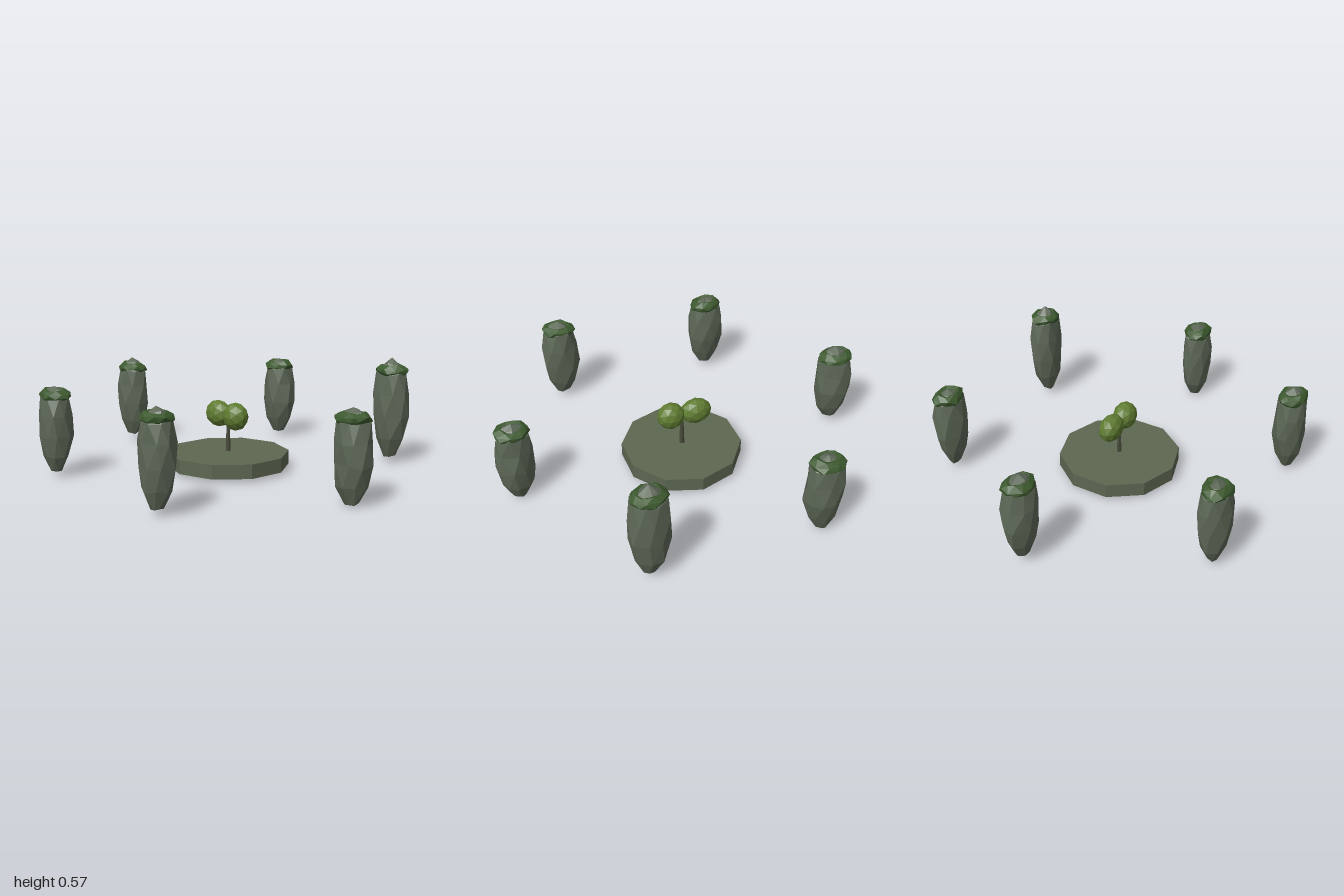
import * as THREE from 'three';

const material = (name, color) => {
  const m = new THREE.MeshStandardMaterial({ color });
  m.name = name;
  return m;
};

// Small repeatable noise in the range -1..1
function noise(a, b, c) {
  const s = Math.sin(a * 12.99 + b * 78.23 + c * 37.72) * 43758.55;
  return (s - Math.floor(s)) * 2 - 1;
}

// Split faces apart so every facet is flat
function faceted(geometry) {
  const flat = geometry.index ? geometry.toNonIndexed() : geometry;
  flat.computeVertexNormals();
  return flat;
}

// Rough stone turned from [radius, y] points, with jittered rings
function roughLathe(profile, sides, seed, radial, vertical) {
  const geometry = new THREE.LatheGeometry(profile.map(([r, y]) => new THREE.Vector2(r, y)), sides);
  const p = geometry.attributes.position;
  for (let i = 0; i < p.count; i++) {
    const ring = i % profile.length;
    const side = Math.floor(i / profile.length) % sides;
    const [r, y] = profile[ring];
    const angle = (side + ring * 0.5 + 0.2 * noise(side, ring, seed)) / sides * Math.PI * 2;
    const radius = r * (1 + radial * noise(side, ring, seed + 7));
    p.setXYZ(i, Math.sin(angle) * radius,
      y + (r > 0 ? vertical * noise(side, ring, seed + 13) : 0), Math.cos(angle) * radius);
  }
  return faceted(geometry);
}

export function createModel() {
  const model = new THREE.Group();
  const stone = material('mossy grey stone', 0x5d6857);
  const slab = material('platform stone', 0x5c6751);
  const moss = material('dark moss', 0x3d5a2f);
  const leaf = material('olive leaves', 0x5f7c31);
  const bark = material('dark bark', 0x494b3c);

  const add = (parent, name, geometry, mat, x, y, z) => {
    const mesh = new THREE.Mesh(geometry, mat);
    mesh.name = name;
    mesh.position.set(x, y, z);
    parent.add(mesh);
    return mesh;
  };

  // Ten-sided central platform
  add(model, 'platform', faceted(new THREE.CylinderGeometry(0.323, 0.323, 0.075, 10)),
    slab, -0.003, 0.0625, -0.007);

  // Little tree
  const tree = new THREE.Group();
  tree.name = 'tree';
  model.add(tree);
  add(tree, 'trunk', faceted(new THREE.CylinderGeometry(0.008, 0.014, 0.19, 6)), bark, -0.005, 0.19, -0.008);
  [[-0.084, 0.292, 0.086, 0.072, 0.058], [0.056, 0.294, 0.076, 0.075, 0.062]].forEach(([x, y, sx, sy, sz], i) => {
    const geometry = new THREE.IcosahedronGeometry(1, 1);
    geometry.rotateY(0.4 + i).scale(sx, sy, sz);
    add(tree, 'foliage', faceted(geometry), leaf, x, y, -0.008);
  });

  // Ring of six standing stones: x, z, bottom, moss height, peak
  const stones = [
    [-0.9, -0.005, 0.04, 0.445, 0.505],
    [0.895, -0.005, 0.005, 0.42, 0.47],
    [-0.45, 0.775, 0.025, 0.43, 0.475],
    [0.445, 0.775, 0.03, 0.455, 0.505],
    [-0.45, -0.78, 0.025, 0.435, 0.48],
    [0.445, -0.78, 0.03, 0.51, 0.58],
  ];
  stones.forEach(([x, z, bottom, mossY, peak], i) => {
    const standing = new THREE.Group();
    standing.name = 'standingStone';
    standing.position.set(x, 0, z);
    standing.scale.set(1.03, 1, 0.83);
    model.add(standing);
    const h = mossY - bottom;
    const profile = [[0, 0], [0.036, 0.025], [0.078, 0.22], [0.1, 0.48], [0.099, 0.74], [0.086, 0.97]]
      .map(([r, t]) => [r, bottom + t * h]);
    profile.push([0.045, mossY + (peak - mossY) * 0.55], [0, peak]);
    add(standing, 'stoneBody', roughLathe(profile, 8, i + 1, 0.07, 0.008), stone, 0, 0, 0);

    // Moss collar with the stone tip showing through
    const collar = [[0.068, -0.032], [0.09, -0.008], [0.087, 0.01], [0.06, 0.03], [0, 0.012]];
    add(standing, 'mossCollar', roughLathe(collar, 9, i + 21, 0.09, 0.006), moss, 0, mossY, 0);
  });

  return model;
}
